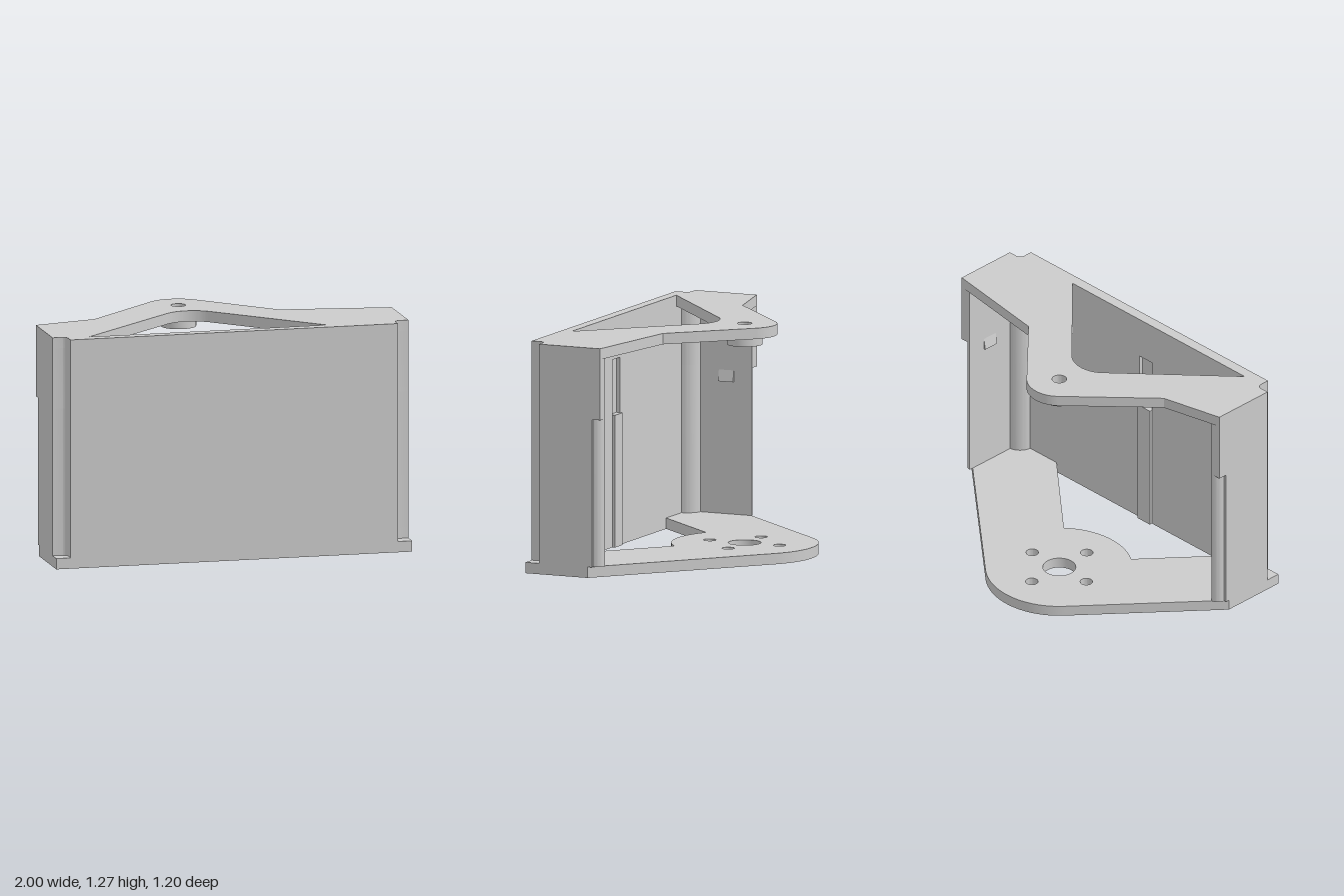
import * as THREE from 'three';
import { toCreasedNormals } from 'three/addons/utils/BufferGeometryUtils.js';

const H = 1.27, T = 0.06;          // overall height, sheet thickness
const CX = -0.11, CZ = -0.197;     // axis shared by both plates
const PI = Math.PI;
const material = new THREE.MeshStandardMaterial({ color: 0xcccccc });

// Points of an arc in plan (x, z)
function arc(cx, cz, r, a0, a1, n = 20) {
  return Array.from({ length: n + 1 }, (_, i) => {
    const a = a0 + (a1 - a0) * i / n;
    return [cx + r * Math.cos(a), cz + r * Math.sin(a)];
  });
}

// Rounded tip tangent to the lines coming from the right and left points
function tip(right, left, cx, cz, r) {
  const angle = p => Math.atan2(p[1] - cz, p[0] - cx);
  const spread = p => Math.acos(r / Math.hypot(p[0] - cx, p[1] - cz));
  return [right, ...arc(cx, cz, r, angle(right) - spread(right), angle(left) + spread(left) - 2 * PI, 32), left];
}

const circle = (x, z, r) => arc(x, z, r, 0, 2 * PI, 32).slice(0, -1);

// Closed contour wound the requested way, so that every side face looks outwards
function contour(pts, Type, clockwise) {
  const v = pts.map(p => new THREE.Vector2(p[0], p[1]));
  return new Type(THREE.ShapeUtils.isClockWise(v) === clockwise ? v : v.reverse());
}

function extrude(outline, holes, depth) {
  const shape = contour(outline, THREE.Shape, false);
  shape.holes = holes.map(h => contour(h, THREE.Path, true));
  return new THREE.ExtrudeGeometry(shape, { depth, bevelEnabled: false });
}

// Extrude a plan outline between two heights
function planSolid(outline, holes, y0, y1) {
  const g = extrude(outline, holes, y1 - y0);
  g.rotateX(PI / 2).translate(0, y1, 0);
  return toCreasedNormals(g, 0.5);
}

const rect = (x0, y0, x1, y1) => [[x0, y0], [x1, y0], [x1, y1], [x0, y1]];

export function createModel() {
  const model = new THREE.Group();
  const add = (name, geometry) => {
    const mesh = new THREE.Mesh(geometry, material);
    mesh.name = name;
    model.add(mesh);
  };

  // Bottom plate: wide rounded tip, open middle, centre bore and four screw holes
  const bottomOutline = [[-1, 0.6], [1, 0.6], ...tip([1, 0.226], [-1, 0.222], CX, CZ, 0.403)];
  const bottomOpening = [[0.66, 0.54], ...arc(CX, CZ, 0.4, 0.84, 2.145), [-0.67, 0.54]];
  const screwHoles = [0, 1, 2, 3].map(i =>
    circle(CX + 0.21 * Math.cos(i * PI / 2), CZ + 0.21 * Math.sin(i * PI / 2), 0.034));
  add('bottomPlate', planSolid(bottomOutline, [bottomOpening, circle(CX, CZ, 0.09), ...screwHoles], 0, T));

  // Top plate: narrow rounded tip, notched front corners, triangular opening
  const notch = [[1, 0.518], ...arc(0.95, 0.548, 0.03, -PI / 2, -PI, 8), [0.92, 0.6]];
  const mirror = pts => pts.map(([x, z]) => [-x, z]);
  const topOutline = [
    [1, 0.15], ...tip([0.39, 0.06], [-0.65, 0.07], CX, CZ, 0.178), [-1, 0.15],
    ...mirror(notch), ...[...notch].reverse(),
  ];
  const topOpening = tip([0.535, 0.54], [-0.8, 0.54], CX, 0.145, 0.175);
  add('topPlate', planSolid(topOutline, [topOpening, circle(CX, CZ, 0.04)], H - T, H));

  // Bored boss under the top plate
  add('pivotBoss', planSolid(circle(CX, CZ, 0.0975), [circle(CX, CZ, 0.04)], 1.155, H - T));

  // Front panel: plain outer sheet, inner sheet with a shallow groove
  const sheet = (holes, z0, z1) => extrude(rect(-0.87, T, 0.87, H - T), holes, z1 - z0).translate(0, 0, z0);
  add('frontPanel', sheet([], 0.56, 0.6));
  add('frontPanelLining', sheet([rect(-0.08, 0.73, 0.015, 1.035)], 0.54, 0.56));
  add('panelRail', new THREE.BoxGeometry(0.097, 0.73, 0.035).translate(-0.032, 0.365, 0.5415));

  // Side walls with a hollow corner column; the lower back edge is a slimmer rounded post
  const wallOutline = backEdge => [
    [0.87, 0.6], ...[...notch].reverse(), ...backEdge,
    [0.94, 0.15], ...arc(0.95, 0.545, 0.085, -1.69, -PI, 16), [0.87, 0.545],
  ];
  const roundEdge = [[1, 0.2], ...arc(0.935, 0.2, 0.05, 0, -PI / 2, 12).slice(0, -1)];
  for (const [side, s] of [['right', 1], ['left', -1]]) {
    const place = pts => (s > 0 ? pts : mirror(pts));
    add(side + 'WallLower', planSolid(place(wallOutline(roundEdge)), [], T, 0.875));
    add(side + 'WallUpper', planSolid(place(wallOutline([[1, 0.15]])), [], 0.875, H - T));
    // Snap catch: a wedge that fades into the wall upwards
    const wedge = [[0.945, 0.79], [0.928, 0.79], [0.945, 0.88]];
    add(side + 'Catch', extrude(place(wedge), [], 0.09).translate(0, 0, 0.26));
  }
  return model;
}
